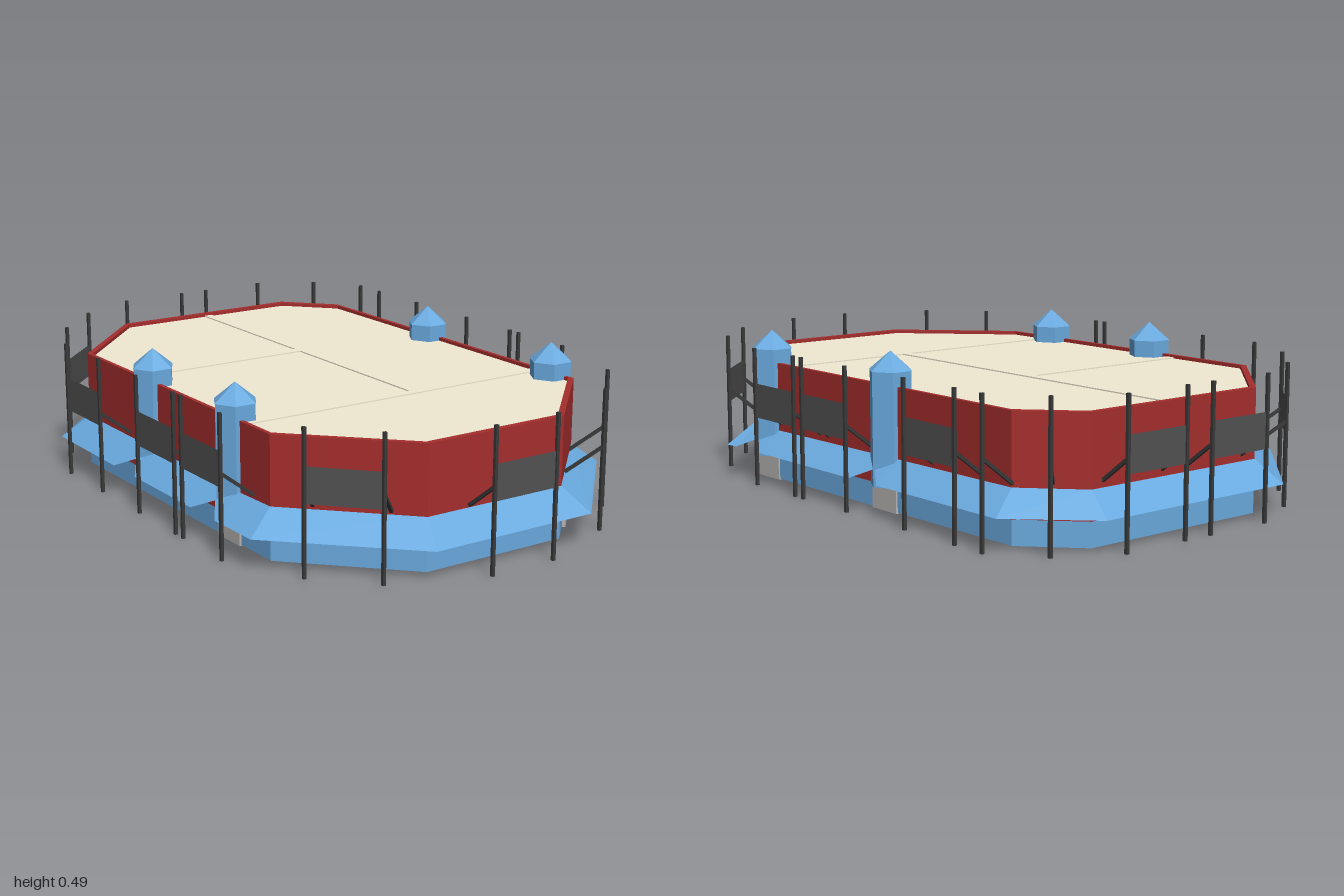
import * as THREE from 'three';

const mat = (color, side = THREE.FrontSide) =>
  new THREE.MeshStandardMaterial({ color, side, flatShading: true });

export function createModel() {
  const model = new THREE.Group();
  const blue = mat(0x6aaadf), red = mat(0xa62e2e), tan = mat(0xf1ead4, THREE.DoubleSide);
  const awningBlue = mat(0x6aaadf, THREE.DoubleSide);
  const dark = mat(0x3a3a3a), panelGrey = mat(0x525252, THREE.DoubleSide), doorGrey = mat(0xbab5b5);

  const add = (name, geometry, material, parent = model) => {
    const mesh = new THREE.Mesh(geometry, material);
    mesh.name = name;
    parent.add(mesh);
    return mesh;
  };
  const group = (name) => {
    const g = new THREE.Group();
    g.name = name;
    model.add(g);
    return g;
  };

  // Eight-sided plan as [x, z], starting at the front and running towards +x
  const plan = [[-0.237, 0.872], [0.257, 0.872], [0.57, 0.565], [0.56, -0.74],
    [0.41, -0.9], [-0.25, -0.9], [-0.56, -0.58], [-0.555, 0.55]];
  const eaves = [[-0.275, 0.965], [0.295, 0.965], [0.66, 0.59], [0.65, -0.78],
    [0.435, -0.99], [-0.28, -0.99], [-0.65, -0.615], [-0.65, 0.595]];
  const points = (s) => plan.map(([x, z]) => new THREE.Vector2(x * s, -z * s));

  // Hollow wall rings with an open bottom
  const ring = (name, y0, y1, material) => {
    const shape = new THREE.Shape(points(1));
    shape.holes.push(new THREE.Path(points(0.977)));
    const geo = new THREE.ExtrudeGeometry(shape, { depth: y1 - y0, bevelEnabled: false });
    add(name, geo.rotateX(-Math.PI / 2).translate(0, y0, 0), material);
  };
  ring('baseWall', 0.005, 0.08, blue);
  ring('upperWall', 0.08, 0.385, red);

  // Roof deck with narrow dividing strips
  const deck = new THREE.ShapeGeometry(new THREE.Shape(points(0.98)));
  add('roofDeck', deck.rotateX(-Math.PI / 2).translate(0, 0.374, 0), tan);
  const strips = group('roofStrips');
  for (const [x0, x1, z0, z1] of [[0.065, 0.095, -0.88, 0.375], [-0.55, 0.065, -0.27, -0.24], [-0.55, 0.555, 0.375, 0.405]]) {
    const strip = add('roofStrip', new THREE.BoxGeometry(x1 - x0, 0.008, z1 - z0), tan, strips);
    strip.position.set((x0 + x1) / 2, 0.374, (z0 + z1) / 2);
  }

  // Hexagonal towers with pointed caps
  const towers = [[0.55, 0.475], [0.545, -0.165], [-0.54, -0.16], [-0.535, 0.33]];
  for (const [x, z] of towers) {
    const tower = group('tower');
    tower.position.set(x, 0, z);
    tower.rotation.y = Math.PI / 6;
    add('towerShaft', new THREE.CylinderGeometry(0.068, 0.068, 0.35, 6), blue, tower).position.y = 0.255;
    add('towerCap', new THREE.ConeGeometry(0.07, 0.058, 6), blue, tower).position.y = 0.458;
  }

  // Sloping awning; its edge rises in a shallow notch at each tower
  const low = 0.103, high = 0.17;
  const inner = [], outer = [];
  plan.forEach(([x, z], i) => {
    inner.push([x, high, z]);
    outer.push([eaves[i][0], low, eaves[i][1]]);
    if (i !== 2 && i !== 6) return;
    const side = i === 2 ? 1 : -1;
    for (const [tx, tz] of towers.filter((t) => t[0] * side > 0)) {
      for (const [dz, reach, y] of [[0.07, 0.653, low], [0, 0.608, 0.136], [-0.07, 0.653, low]]) {
        inner.push([side * 0.562, high, tz + dz * side]);
        outer.push([side * reach, y, tz + dz * side]);
      }
    }
  });
  const verts = [];
  inner.forEach((a, i) => {
    const j = (i + 1) % inner.length;
    verts.push(...outer[i], ...outer[j], ...inner[j], ...outer[i], ...inner[j], ...a);
  });
  const awning = new THREE.BufferGeometry();
  awning.setAttribute('position', new THREE.Float32BufferAttribute(verts, 3));
  awning.computeVertexNormals();
  add('awning', awning, awningBlue);

  // Poles, each braced back to the wall along the inward direction (nx, nz)
  const frames = group('frames');
  const pole = (x, z, nx, nz) => {
    add('pole', new THREE.BoxGeometry(0.01, 0.445, 0.01), dark, frames).position.set(x, 0.2225, z);
    const from = new THREE.Vector3(x, 0.265, z);
    const to = new THREE.Vector3(x + nx * 0.11, 0.18, z + nz * 0.11);
    const brace = add('brace', new THREE.BoxGeometry(0.01, 0.01, from.distanceTo(to)), dark, frames);
    brace.position.copy(from).lerp(to, 0.5);
    brace.lookAt(to);
  };

  // Hanging panels, each held between two poles: [x0, z0, x1, z1]
  const spans = [
    [-0.095, 0.99, 0.13, 0.99], [0.415, 0.875, 0.572, 0.715], [-0.545, 0.71, -0.39, 0.875],
    [0.665, 0.4, 0.665, 0.18], [0.665, 0.135, 0.665, -0.098], [0.665, -0.388, 0.665, -0.62],
    [0.365, -0.995, 0.138, -0.995], [0.035, -0.995, -0.193, -0.995], [-0.4, -0.89, -0.56, -0.73],
    [-0.665, -0.52, -0.665, -0.29], [-0.665, -0.04, -0.665, 0.19], [-0.665, 0.235, -0.665, 0.46],
  ];
  for (const [x0, z0, x1, z1] of spans) {
    const dx = x1 - x0, dz = z1 - z0, len = Math.hypot(dx, dz);
    const nx = dz / len, nz = -dx / len;
    pole(x0, z0, nx, nz);
    pole(x1, z1, nx, nz);
    const panel = add('panel', new THREE.PlaneGeometry(len, 0.11), panelGrey, frames);
    panel.position.set((x0 + x1) / 2, 0.276, (z0 + z1) / 2);
    panel.rotation.y = Math.atan2(-nx, -nz);
  }
  pole(0.553, -0.893, -0.71, 0.71);
  pole(0.665, -0.74, -1, 0);

  // Grey doors set through the base wall: x, z, width, turn
  for (const [x, z, w, turn] of [[0.414, 0.713, 0.225, Math.PI / 4], [0.561, 0.475, 0.12, Math.PI / 2],
    [0.557, -0.16, 0.12, Math.PI / 2], [-0.55, 0.33, 0.12, Math.PI / 2]]) {
    const door = add('door', new THREE.BoxGeometry(w, 0.078, 0.026), doorGrey);
    door.position.set(x, 0.041, z);
    door.rotation.y = turn;
  }
  return model;
}
